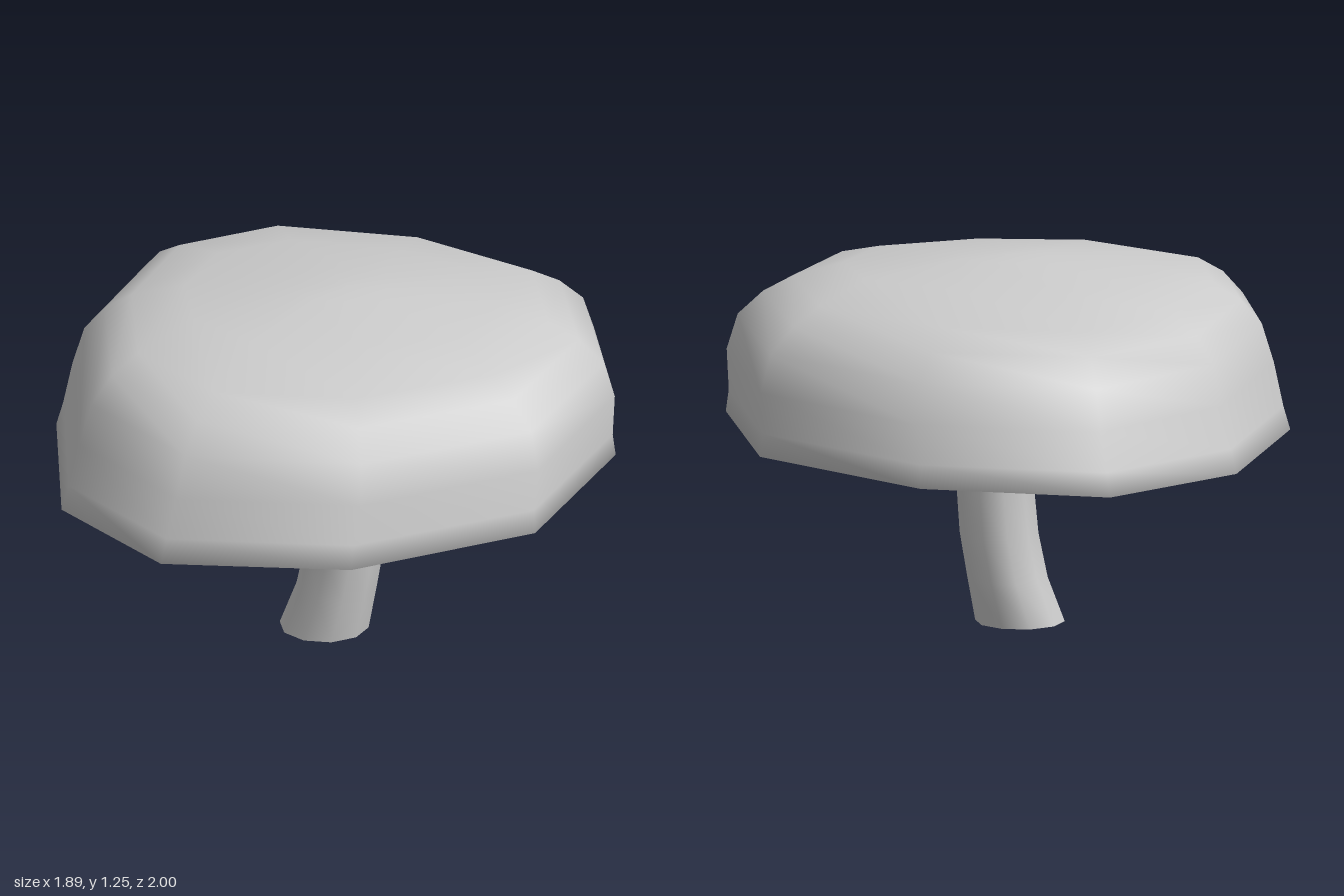
import * as THREE from 'three';

// Skin a list of closed rings, ordered from the top down (outside faces out)
function loft(rings, name) {
  const n = rings[0].length, pos = [], index = [];
  rings.forEach(r => r.forEach(p => pos.push(...p)));
  for (let i = 0; i < rings.length - 1; i++) {
    for (let j = 0; j < n; j++) {
      const a = i * n + j, b = i * n + (j + 1) % n;
      index.push(a, b, a + n, b, b + n, a + n);
    }
  }
  const geo = new THREE.BufferGeometry();
  geo.setAttribute('position', new THREE.Float32BufferAttribute(pos, 3));
  geo.setIndex(index);
  geo.computeVertexNormals();
  const mesh = new THREE.Mesh(geo, new THREE.MeshStandardMaterial({ color: 0xcccccc }));
  mesh.name = name;
  return mesh;
}

// Uneven ten-sided outline of the cap, x and z in -1..1, mirrored in z
const half = [[1, 0], [0.82, 0.63], [0.22, 0.97], [-0.455, 1], [-0.87, 0.65], [-1, 0]];
const outline = [...half, ...half.slice(1, 5).reverse().map(([x, z]) => [x, -z])];

// Cap ring between x = lo and x = hi, dipping slightly at front and back
function capRing([lo, hi, rz, y, dip = 0, tilt = 0]) {
  return outline.map(([x, z]) => [
    (lo + hi) / 2 + x * (hi - lo) / 2,
    y - dip * z * z + tilt * x,
    z * rz,
  ]);
}

// Round stem ring
function stemRing([cx, y, rx, rz]) {
  return Array.from({ length: 10 }, (_, i) => {
    const a = i / 10 * Math.PI * 2;
    return [cx + Math.cos(a) * rx, y, Math.sin(a) * rz];
  });
}

export function createModel() {
  const group = new THREE.Group();
  group.name = 'mushroom';

  // Cap: crown, side wall and the lip of the rim
  const lip = [-0.9, 0.9, 0.95, 0.695, 0.026, 0.013];
  const cap = [
    [0.02, 0.02, 0, 1.252],
    [-0.13, 0.17, 0.13, 1.25],
    [-0.51, 0.55, 0.41, 1.213],
    [-0.69, 0.72, 0.67, 1.165, 0.025],
    [-0.78, 0.82, 0.77, 1.11, 0.035],
    [-0.85, 0.905, 0.86, 1.03, 0.045],
    [-0.89, 0.942, 0.92, 0.905, 0.05, 0.005],
    [-0.922, 0.935, 0.965, 0.76, 0.03, 0.01],
    [-0.945, 0.945, 1.0, 0.683, 0.028, 0.013],
    lip,
  ];
  group.add(loft(cap.map(capRing), 'cap'));

  // Hollow underside, flaring without a break into the curved stem
  const underside = [
    lip,
    [-0.8, 0.82, 0.83, 0.81, 0.02],
    [-0.58, 0.63, 0.6, 0.905],
    [-0.36, 0.44, 0.4, 0.945],
  ];
  const foot = [-0.04, 0, 0.15, 0.145];
  const stem = [
    [0.04, 0.92, 0.29, 0.29],
    [0.042, 0.84, 0.215, 0.215],
    [0.045, 0.75, 0.17, 0.175],
    [0.045, 0.67, 0.147, 0.16],
    [0.045, 0.59, 0.132, 0.145],
    [0.042, 0.45, 0.13, 0.145],
    [0.03, 0.3, 0.132, 0.145],
    [0.002, 0.15, 0.135, 0.145],
    foot,
  ];
  group.add(loft([...underside.map(capRing), ...stem.map(stemRing)], 'undersideAndStem'));

  // Flat sole of the stem
  group.add(loft([foot, [-0.04, 0, 0, 0]].map(stemRing), 'stemSole'));
  return group;
}
